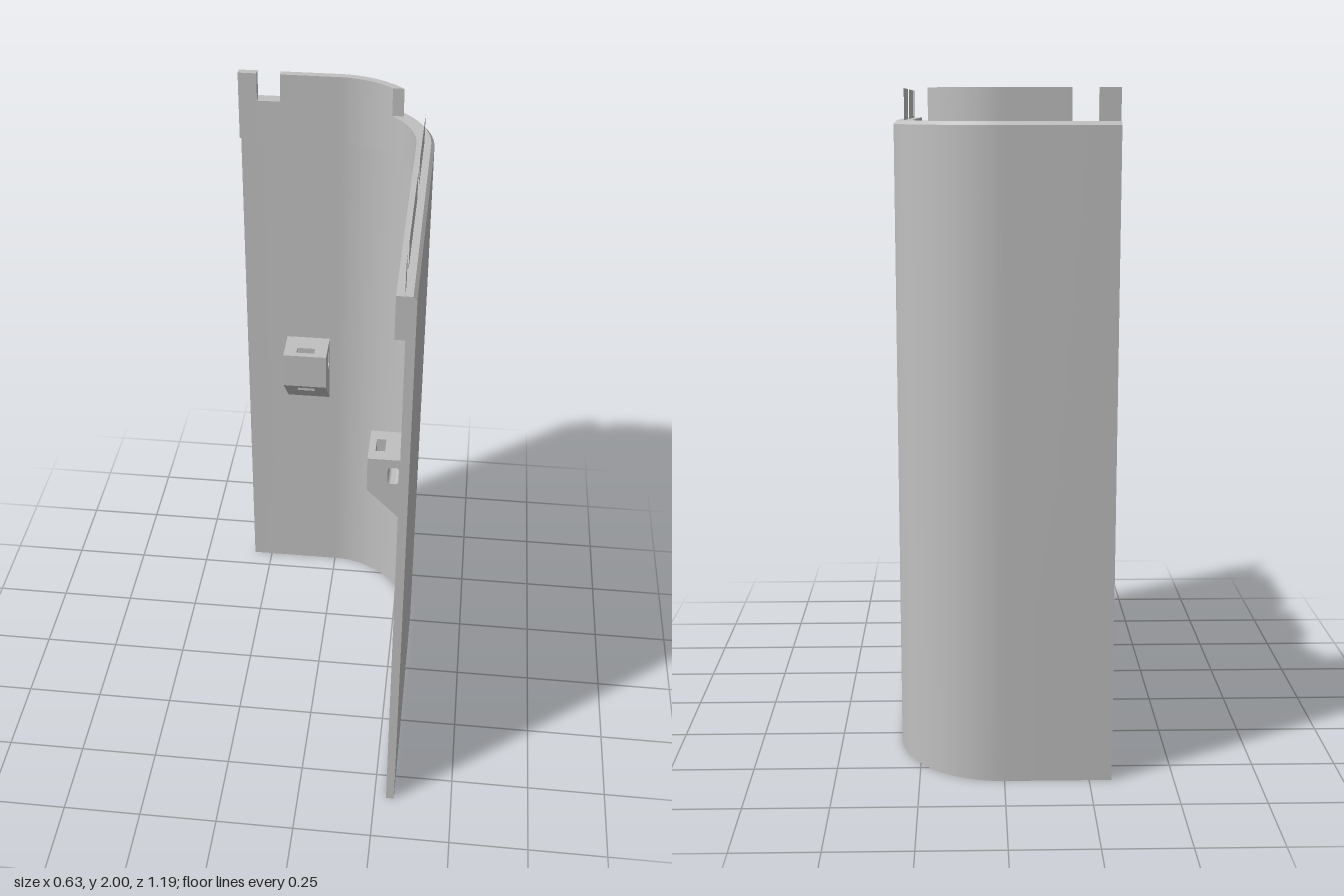
import * as THREE from 'three';
import { toCreasedNormals } from 'three/addons/utils/BufferGeometryUtils.js';

const CZ = -0.28; // centre of the corner arc (x = 0)

// Path stations: each maps a distance r from the corner centre to [x, z]
const onBack = x => r => [x, CZ - r];
const onArc = a => r => [r * Math.sin(a), CZ - r * Math.cos(a)];
const onSide = z => r => [r, z];
const cutAt = z => r => [Math.sqrt(r * r - (z - CZ) ** 2), z];
const arc = (end, n) => Array.from({ length: n + 1 }, (_, i) => onArc(end * i / n));

// Sweep a counter-clockwise (r, y) profile along the stations and cap both ends
function sweep(profile, stations) {
  const pos = [], idx = [], n = profile.length;
  for (const s of stations) {
    for (const [r, y] of profile) {
      const [x, z] = s(r);
      pos.push(x, y, z);
    }
  }
  for (let i = 0; i < stations.length - 1; i++) {
    for (let j = 0; j < n; j++) {
      const k = (j + 1) % n;
      const a = i * n + j, b = i * n + k, c = b + n, d = a + n;
      idx.push(a, b, d, b, c, d);
    }
  }
  const last = (stations.length - 1) * n;
  const caps = THREE.ShapeUtils.triangulateShape(profile.map(p => new THREE.Vector2(...p)), []);
  for (const [a, b, c] of caps) idx.push(a, c, b, last + a, last + b, last + c);
  const g = new THREE.BufferGeometry();
  g.setAttribute('position', new THREE.Float32BufferAttribute(pos, 3));
  g.setIndex(idx);
  return toCreasedNormals(g.toNonIndexed(), 0.5);
}

const rect = (r0, r1, y0, y1) => [[r0, y0], [r1, y0], [r1, y1], [r0, y1]];

export function createModel() {
  const model = new THREE.Group();
  model.name = 'cornerPanel';
  const grey = new THREE.MeshStandardMaterial({ color: 0xc0c0c0 });
  grey.name = 'grey';
  const greySheet = new THREE.MeshStandardMaterial({ color: 0xc0c0c0, side: THREE.DoubleSide });
  greySheet.name = 'greySheet';

  const add = (name, geometry, parent = model, material = grey) => {
    const mesh = new THREE.Mesh(geometry, material);
    mesh.name = name;
    parent.add(mesh);
    return mesh;
  };

  // Curved wall with a chamfered top edge and a thicker inner lip
  const wall = [[0.288, 0], [0.314, 0], [0.314, 1.9], [0.304, 1.91],
    [0.26, 1.91], [0.26, 1.78], [0.288, 1.78]];
  add('wall', sweep(wall, [onBack(-0.316), ...arc(Math.PI / 2, 32), onSide(0.594)]));

  // Solid tabs on the back edge, the long one running into the corner
  const tab = rect(0.26, 0.285, 1.91, 2);
  add('backEndTab', sweep(tab, [onBack(-0.316), onBack(-0.257)]));
  add('backCornerTab', sweep(tab, [onBack(-0.183), ...arc(0.7, 14), cutAt(-0.473)]));

  // Thin sheet tabs on the side edge
  for (const [z0, z1] of [[-0.297, 0], [0.07, 0.465], [0.54, 0.594]]) {
    const sheet = add('sideTab', new THREE.PlaneGeometry(z1 - z0, 0.09), model, greySheet);
    sheet.rotation.y = Math.PI / 2;
    sheet.position.set(0.283, 1.955, (z0 + z1) / 2);
  }

  // Clip pieces: a wedge slice between depths d0 and d1, with an optional rounded cross hole
  const W = 0.0745, S = 0.031; // half widths of clip and slot
  const wedge = (d0, d1, z0, z1, hole) => {
    const under = d => 0.77 + d * 0.125 / 0.123;
    const s = new THREE.Shape([[-d0, under(d0)], [-d0, 1.02], [-d1, 1.02], [-d1, under(d1)]]
      .map(p => new THREE.Vector2(...p)));
    if (hole) {
      const h = new THREE.Path(), r = 0.012;
      h.absarc(-0.058 + r, 0.925 + r, r, Math.PI, Math.PI * 1.5);
      h.absarc(-0.023 - r, 0.925 + r, r, Math.PI * 1.5, Math.PI * 2);
      h.absarc(-0.023 - r, 0.99 - r, r, 0, Math.PI / 2);
      h.absarc(-0.058 + r, 0.99 - r, r, Math.PI / 2, Math.PI);
      h.closePath();
      s.holes.push(h);
    }
    const g = new THREE.ExtrudeGeometry(s, { depth: z1 - z0, bevelEnabled: false, curveSegments: 5 });
    return g.translate(0, 0, z0);
  };

  // Clip: two cheeks and two bridges around a vertical slot
  const clip = (name, x, z, turn) => {
    const g = new THREE.Group();
    g.name = name;
    add('clipCheek', wedge(0, 0.123, -W, -S, true), g);
    add('clipCheek', wedge(0, 0.123, S, W, true), g);
    add('clipRoot', wedge(0, 0.071, -S, S, true), g);
    add('clipNose', wedge(0.101, 0.123, -S, S, false), g);
    g.position.set(x, 0, z);
    g.rotation.y = turn;
    model.add(g);
  };
  clip('sideClip', 0.288, 0.0325, 0);
  clip('backClip', -0.1, -0.568, Math.PI / 2);

  return model;
}
